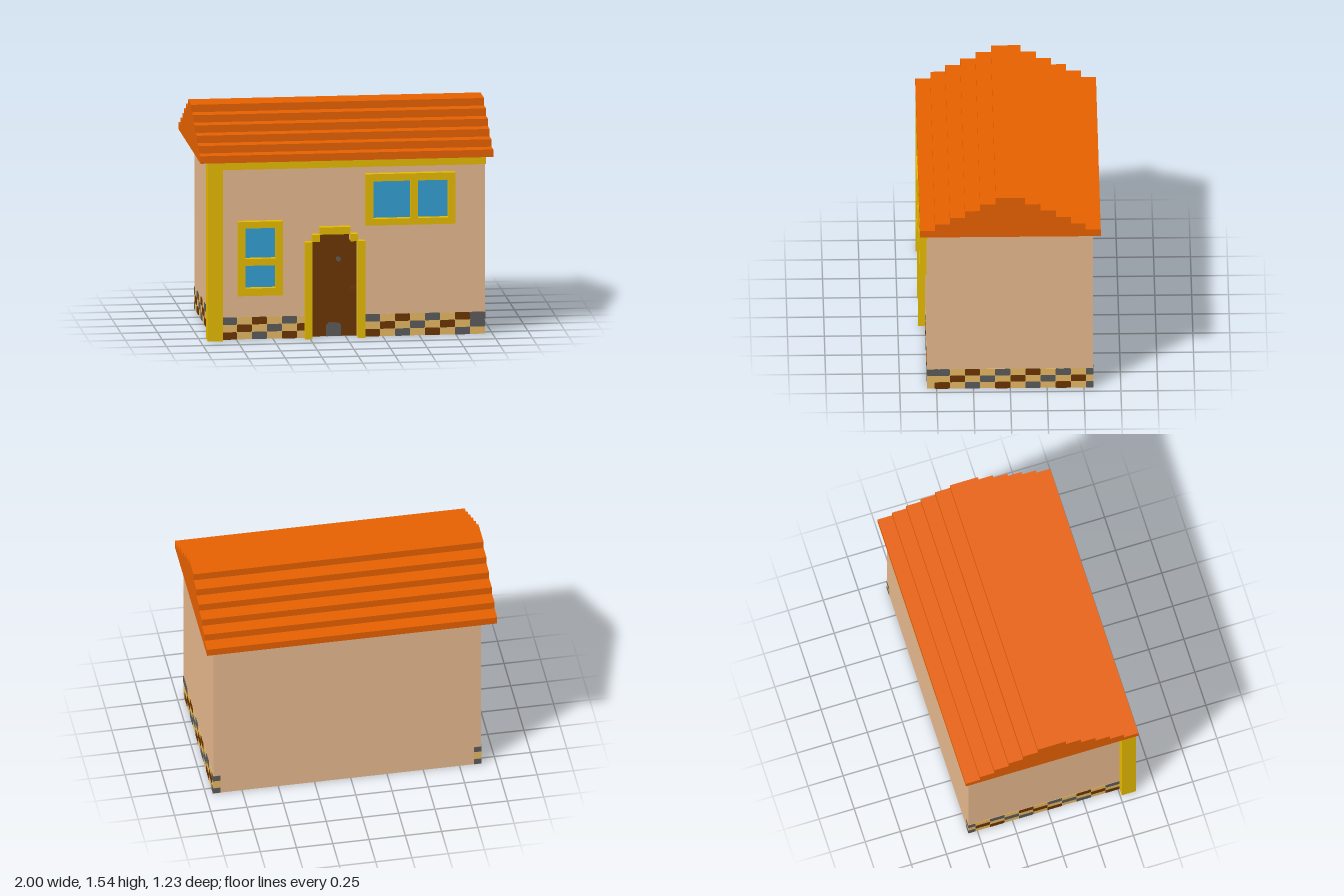
import * as THREE from 'three';

const mat = (name, color) => {
  const m = new THREE.MeshStandardMaterial({ color });
  m.name = name;
  return m;
};

export function createModel() {
  const house = new THREE.Group();
  house.name = 'house';
  const roofMat = mat('roof orange', 0xe66100);
  const wallMat = mat('wall beige', 0xe6b88d);
  const trimMat = mat('trim yellow', 0xe6ba00);
  const brown = mat('dark brown', 0x6b3500);
  const grey = mat('stone grey', 0x5b5b5b);
  const sand = mat('sandstone', 0xe6b862);
  const glassMat = mat('window blue', 0x339ed1);

  const add = (name, geometry, material, parent = house) => {
    const mesh = new THREE.Mesh(geometry, material);
    mesh.name = name;
    parent.add(mesh);
    return mesh;
  };
  // Box given by its limits on each axis
  const box = (name, m, x0, x1, y0, y1, z0, z1, parent) => {
    const mesh = add(name, new THREE.BoxGeometry(x1 - x0, y1 - y0, z1 - z0), m, parent);
    mesh.position.set((x0 + x1) / 2, (y0 + y1) / 2, (z0 + z1) / 2);
    return mesh;
  };
  const group = (name) => {
    const g = new THREE.Group();
    g.name = name;
    house.add(g);
    return g;
  };
  const rectPath = (p, x0, x1, y0, y1) => {
    p.moveTo(x0, y0); p.lineTo(x1, y0); p.lineTo(x1, y1); p.lineTo(x0, y1); p.closePath();
    return p;
  };
  const polygon = (points) => new THREE.Shape(points.map(([x, y]) => new THREE.Vector2(x, y)));
  const extrude = (shape, depth) => new THREE.ExtrudeGeometry(shape, { depth, bevelEnabled: false });

  const WALL = 0.565, TRIM = 0.613, RECESS = 0.513;
  const LEFT = 0.95, RIGHT = -0.9, BACK = -0.563;
  const DOOR0 = -0.236, DOOR1 = 0.076;

  // Walls: a solid core and a front skin with a stepped doorway
  box('walls', wallMat, RIGHT + 0.002, LEFT - 0.002, 0.003, 1.235, BACK + 0.001, RECESS);
  const skin = polygon([
    [RIGHT + 0.002, 0.003], [DOOR0, 0.003], [DOOR0, 0.67], [-0.185, 0.67], [-0.185, 0.72],
    [0.025, 0.72], [0.025, 0.67], [DOOR1, 0.67], [DOOR1, 0.003],
    [LEFT - 0.002, 0.003], [LEFT - 0.002, 1.235], [RIGHT + 0.002, 1.235],
  ]);
  add('frontWall', extrude(skin, WALL - 0.001 - RECESS), wallMat).position.z = RECESS;

  // Stepped roof as one gable profile, swept along x
  const half = [0.613, 0.511, 0.41, 0.308, 0.205, 0.1];
  const step = 0.0513, base = 1.23;
  const profile = [];
  half.forEach((w, i) => profile.push([w, base + i * step], [w, base + (i + 1) * step]));
  const roofGeo = extrude(polygon([...profile, ...profile.slice().reverse().map(([z, y]) => [-z, y])]), 2);
  roofGeo.rotateY(-Math.PI / 2);
  add('roof', roofGeo, roofMat).position.x = 1;

  // Corner post wrapping the wall edge, and beam under the eaves
  box('cornerPost', trimMat, -0.95, -0.848, 0, 1.23, 0.511, TRIM);
  box('eavesBeam', trimMat, -0.848, LEFT - 0.001, 1.182, 1.23, WALL - 0.002, TRIM);

  // Windows: a frame with holes and a glass plate behind each
  const windowAt = (name, [x0, x1, y0, y1], panes) => {
    const g = group(name);
    const shape = rectPath(new THREE.Shape(), x0, x1, y0, y1);
    panes.forEach((p) => {
      shape.holes.push(rectPath(new THREE.Path(), ...p));
      box('glass', glassMat, ...p, WALL - 0.003, WALL + 0.003, g);
    });
    add('windowFrame', extrude(shape, TRIM - WALL), trimMat, g).position.z = WALL;
  };
  windowAt('tallWindow', [-0.744, -0.436, 0.308, 0.82],
    [[-0.693, -0.487, 0.564, 0.775], [-0.693, -0.487, 0.36, 0.517]]);
  windowAt('wideWindow', [0.128, 0.742, 0.775, 1.13],
    [[0.18, 0.436, 0.82, 1.08], [0.485, 0.692, 0.82, 1.08]]);

  // Recessed door leaf and its stepped surround
  const door = group('door');
  const LEAF = RECESS + 0.004;
  box('doorLeaf', brown, DOOR0, DOOR1, 0, 0.67, RECESS - 0.003, LEAF, door);
  box('doorTop', brown, -0.185, 0.025, 0.67, 0.72, RECESS - 0.003, LEAF, door);
  for (const s of [-1, 1]) {
    const span = (a, b) => (s < 0 ? [-0.08 - b, -0.08 - a] : [-0.08 + a, -0.08 + b]);
    box('doorPost', trimMat, ...span(0.156, 0.205), 0, 0.67, WALL - 0.001, TRIM, door);
    box('doorCorner', trimMat, ...span(0.105, 0.156), 0.67, 0.72, WALL - 0.001, TRIM, door);
  }
  box('doorLintel', trimMat, -0.185, 0.025, 0.72, 0.77, WALL - 0.001, TRIM, door);

  // Rectangle with clipped corners
  const clipped = (x0, x1, y0, y1, c, foot = c) => polygon([
    [x0 + foot, y0], [x1 - foot, y0], [x1, y0 + foot], [x1, y1 - c],
    [x1 - c, y1], [x0 + c, y1], [x0, y1 - c], [x0, y0 + foot],
  ]);

  // Door fittings
  const knob = add('peephole', new THREE.CylinderGeometry(0.017, 0.017, 0.006, 12), grey, door);
  knob.rotation.x = Math.PI / 2;
  knob.position.set(-0.047, 0.532, LEAF + 0.003);
  add('petFlap', extrude(clipped(-0.13, -0.03, 0, 0.092, 0.014, 0.001), 0.006), grey, door)
    .position.z = LEAF;
  for (let i = 0; i < 4; i++) {
    const y = 0.31 + i * 0.013;
    box('latchSlat', brown, 0.028, DOOR1, y, y + 0.008, LEAF, LEAF + 0.012, door);
  }

  // Sandstone plinth, broken at the doorway
  const plinth = group('plinth');
  const T = 0.1026, H = 0.0513, D = 0.052;
  box('plinthFront', sand, RIGHT, DOOR0 - 0.001, 0.001, 3 * H, WALL - D, WALL, plinth);
  box('plinthFront', sand, DOOR1 + 0.001, LEFT, 0.001, 3 * H, WALL - D, WALL, plinth);
  box('plinthSide', sand, LEFT - D, LEFT, 0.001, 3 * H, BACK, WALL - D, plinth);
  box('plinthSide', sand, RIGHT, RIGHT + D, 0.001, 3 * H, BACK, WALL - D, plinth);

  // Bricks set in the plinth
  const brickGeo = (a, b, row) => extrude(clipped(a, b, row * H, (row + 1) * H, 0.005), D);
  const frontBrick = (a, b, row, m) => {
    add('frontBrick', brickGeo(a, b, row), m, plinth).position.z = WALL - D + 0.0015;
  };
  const sideBrick = (a, b, row, m) => {
    for (const x of [LEFT + 0.0015, RIGHT - 0.0015 + D]) {
      const geo = brickGeo(a, b, row);
      geo.rotateY(-Math.PI / 2);
      add('sideBrick', geo, m, plinth).position.x = x;
    }
  };
  // Brown and grey bricks alternate, each course one brick further along
  const shade = (i) => (i % 2 ? grey : brown);
  const END = BACK - 0.0015;
  for (let row = 0; row < 3; row++) {
    for (const [start, end] of [[-0.85, DOOR0 + 0.0005], [0.128, 0.846]]) {
      for (let i = 0; start + (row + 2 * i) * T < end - 0.02; i++) {
        const a = start + (row + 2 * i) * T;
        frontBrick(a, Math.min(a + T, end), row, shade(i));
      }
    }
    for (let i = 0; 0.513 - (row + 2 * i) * T > END + 0.06; i++) {
      const b = 0.513 - (row + 2 * i) * T;
      sideBrick(b - T, b, row, shade(i));
    }
  }
  // Bricks at the corners and course ends
  frontBrick(-0.85, -0.85 + T, 2, grey);
  frontBrick(0.128, 0.128 + T, 2, grey);
  frontBrick(0.846, LEFT - 0.0005, 2, grey);
  frontBrick(0.846, LEFT - 0.0005, 1, grey);
  sideBrick(0.41, WALL + 0.001, 2, grey);
  sideBrick(END, -0.513, 2, grey);
  sideBrick(END, -0.513, 0, grey);

  return house;
}
